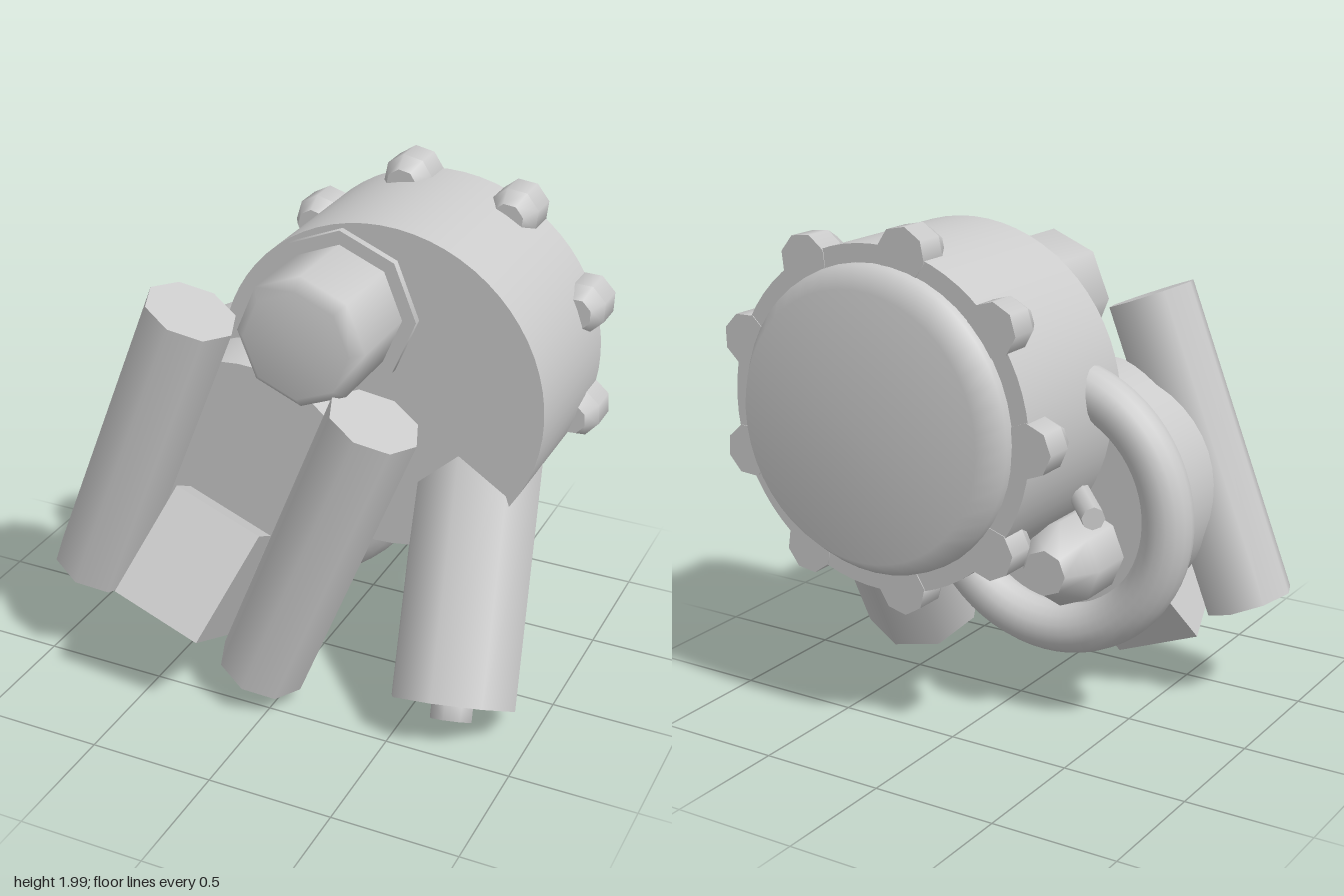
import * as THREE from 'three';

const material = new THREE.MeshStandardMaterial({ color: 0xcccccc, side: THREE.DoubleSide });

function add(parent, name, geometry, x = 0, y = 0, z = 0) {
  const mesh = new THREE.Mesh(geometry, material);
  mesh.name = name;
  mesh.position.set(x, y, z);
  parent.add(mesh);
  return mesh;
}

// cylinder along z between two depths
function discZ(rFront, rBack, zFront, zBack, sides) {
  return new THREE.CylinderGeometry(rFront, rBack, zFront - zBack, sides)
    .rotateX(Math.PI / 2).translate(0, 0, (zFront + zBack) / 2);
}

// turned profile [radius, height], pointing along +z (dir 1) or -z (dir -1)
function turned(points, sides, dir) {
  return new THREE.LatheGeometry(points.map(p => new THREE.Vector2(...p)), sides)
    .rotateX(dir * Math.PI / 2);
}

// aligns a part's y axis with the line from a to b
function aim(object, a, b) {
  object.position.copy(a);
  object.quaternion.setFromUnitVectors(new THREE.Vector3(0, 1, 0), b.clone().sub(a).normalize());
}

export function createModel() {
  const model = new THREE.Group();
  model.name = 'drumMachine';

  // Main drum with domed back cover and rim lugs
  const drum = new THREE.Group();
  drum.name = 'drum';
  drum.position.set(0.25, 1.26, 0);
  model.add(drum);
  add(drum, 'drumBody', discZ(0.66, 0.66, 0.055, -0.605, 64));
  add(drum, 'backCover',
    turned([[0.59, 0], [0.585, 0.03], [0.515, 0.125], [0, 0.125]], 48, -1), 0, 0, -0.605);
  for (let i = 0; i < 9; i++) {
    const angle = THREE.MathUtils.degToRad(21 + i * 40);
    const lug = new THREE.Group();
    lug.name = 'rimLug';
    lug.position.set(0.645 * Math.cos(angle), 0.645 * Math.sin(angle), 0);
    lug.rotation.z = angle;
    add(lug, 'lugBody', discZ(0.104, 0.104, -0.49, -0.608, 8));
    add(lug, 'lugTaper', discZ(0.065, 0.104, -0.42, -0.49, 8));
    drum.add(lug);
  }

  // Front knob on its octagonal plate
  add(model, 'knobPlate', discZ(0.31, 0.31, 0.085, 0.04, 8), 0.1, 1.575, 0);
  add(model, 'frontKnob',
    turned([[0.255, 0], [0.255, 0.36], [0.21, 0.405], [0, 0.405]], 8, 1), 0.1, 1.575, 0.05);

  // Tilted carriage: disc, twin tubes, block and ring pipe
  const carriage = new THREE.Group();
  carriage.name = 'carriage';
  carriage.position.set(-0.205, 0.877, 0);
  carriage.rotation.z = -0.374;
  model.add(carriage);
  add(carriage, 'carriageDisc', discZ(0.5, 0.5, 0.3, -0.01, 48));
  for (const side of [-1, 1]) {
    add(carriage, 'sideTube', new THREE.CylinderGeometry(0.178, 0.178, 1.278, 8), side * 0.395, 0, 0.42);
  }
  const block = add(carriage, 'frontBlock', new THREE.BoxGeometry(0.375, 0.472, 0.505), 0, -0.381, 0.385);
  block.rotation.x = -0.56;
  add(carriage, 'ringPipe', new THREE.TorusGeometry(0.5, 0.098, 16, 64), 0, 0, -0.105);

  // Rear hub and small slanted pin inside the ring pipe
  add(model, 'rearHub',
    turned([[0.17, 0], [0.17, 0.2], [0.09, 0.32]], 8, -1), -0.3, 0.68, 0);
  add(model, 'rearHubFace', new THREE.CircleGeometry(0.09, 8).rotateY(Math.PI).rotateZ(Math.PI / 2),
    -0.3, 0.68, -0.32);
  const pin = add(model, 'rearPin', new THREE.CylinderGeometry(0.045, 0.045, 0.4, 8).translate(0, 0.2, 0));
  aim(pin, new THREE.Vector3(-0.495, 0.925, -0.295), new THREE.Vector3(-0.22, 0.94, 0.02));

  // Slanted leg with a hollow nozzle at the foot
  const leg = new THREE.Group();
  leg.name = 'leg';
  aim(leg, new THREE.Vector3(0.703, 0.14, 0.335), new THREE.Vector3(0.583, 0.98, -0.198));
  model.add(leg);
  add(leg, 'legTube', new THREE.CylinderGeometry(0.252, 0.252, 1.05, 8).translate(0, 0.525, 0));
  const nozzle = [[0.05, 0.01], [0.05, -0.065], [0.085, -0.065], [0.085, 0.01]];
  add(leg, 'nozzle', new THREE.LatheGeometry(nozzle.map(p => new THREE.Vector2(...p)), 8));

  return model;
}
